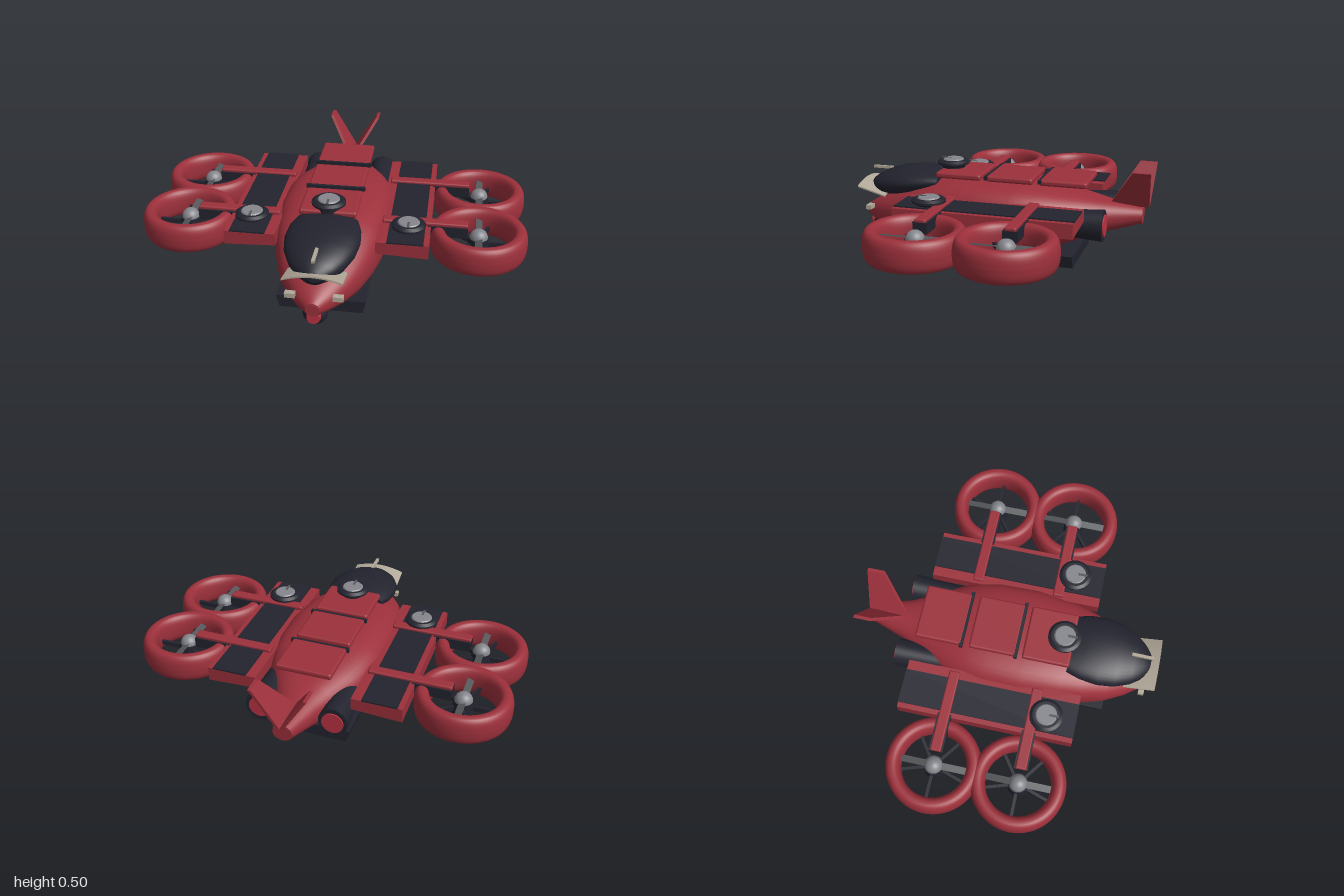
import * as THREE from 'three';
import { toCreasedNormals } from 'three/addons/utils/BufferGeometryUtils.js';
import { RoundedBoxGeometry } from 'three/addons/geometries/RoundedBoxGeometry.js';

const mat = (name, color) => Object.assign(new THREE.MeshStandardMaterial({ color }), { name });

// Closed skin through sections [z, halfWidth, bottom, top, squareness], front to back
function loft(sections, n = 40) {
  const pos = [], idx = [];
  const ring = ([z, w, b, t, e = 2.5]) => {
    const start = pos.length / 3;
    for (let j = 0; j < n; j++) {
      const a = (j / n) * Math.PI * 2, c = Math.cos(a), s = Math.sin(a);
      pos.push(w * Math.sign(c) * Math.abs(c) ** (2 / e),
        (b + t) / 2 + ((t - b) / 2) * Math.sign(s) * Math.abs(s) ** (2 / e), z);
    }
    return start;
  };
  const starts = sections.map(ring);
  for (let i = 0; i < starts.length - 1; i++) {
    for (let j = 0; j < n; j++) {
      const k = (j + 1) % n, p = starts[i], q = starts[i + 1];
      idx.push(p + j, q + j, p + k, p + k, q + j, q + k);
    }
  }
  const cap = (s, front) => {
    const r = ring(s), c = pos.length / 3;
    pos.push(0, (s[2] + s[3]) / 2, s[0]);
    for (let j = 0; j < n; j++) {
      const k = (j + 1) % n;
      idx.push(c, r + (front ? j : k), r + (front ? k : j));
    }
  };
  cap(sections[0], true);
  cap(sections[sections.length - 1], false);
  const g = new THREE.BufferGeometry();
  g.setAttribute('position', new THREE.Float32BufferAttribute(pos, 3));
  g.setIndex(idx);
  g.computeVertexNormals();
  return g;
}

export function createModel() {
  const red = mat('hull red', 0x9c303b);
  const dark = mat('dark panels', 0x22232e);
  const grey = mat('light grey metal', 0x85868c);
  const steel = mat('blade grey', 0x55575a);
  const beige = mat('beige trim', 0xb0a797);
  const glow = mat('bright red lens', 0xb93343);
  const root = new THREE.Group();
  root.name = 'quadRotorCraft';

  const add = (name, geo, m, x = 0, y = 0, z = 0, parent = root) => {
    const mesh = new THREE.Mesh(geo, m);
    mesh.name = name;
    mesh.position.set(x, y, z);
    parent.add(mesh);
    return mesh;
  };
  const box = (w, h, d) => new THREE.BoxGeometry(w, h, d);
  const cyl = (a, b, h, n = 32) => new THREE.CylinderGeometry(a, b, h, n);
  const lathe = (pts, n = 32) => toCreasedNormals(
    new THREE.LatheGeometry(pts.map(p => new THREE.Vector2(...p)), n), 0.6);

  // Fuselage and canopy
  add('fuselage', loft([
    [0.785, 0.035, 0.125, 0.195, 2], [0.73, 0.09, 0.105, 0.23, 2.1], [0.65, 0.15, 0.085, 0.27, 2.3],
    [0.55, 0.205, 0.07, 0.312, 2.5], [0.42, 0.248, 0.058, 0.36, 2.7], [0.3, 0.275, 0.047, 0.395, 2.8],
    [0.1, 0.298, 0.035, 0.41, 3], [-0.1, 0.298, 0.03, 0.406, 3], [-0.22, 0.28, 0.037, 0.395, 2.9],
    [-0.33, 0.24, 0.075, 0.372, 2.7], [-0.45, 0.17, 0.117, 0.348, 2.4], [-0.57, 0.11, 0.157, 0.325, 2.2],
    [-0.75, 0.05, 0.21, 0.3, 2]]), red);
  add('canopy', loft([
    [0.76, 0.015, 0.295, 0.32, 2], [0.745, 0.055, 0.275, 0.348, 2], [0.71, 0.097, 0.265, 0.374, 2],
    [0.66, 0.136, 0.262, 0.4, 2], [0.58, 0.172, 0.27, 0.424, 2], [0.49, 0.186, 0.285, 0.434, 2],
    [0.4, 0.178, 0.31, 0.433, 2.1], [0.325, 0.156, 0.335, 0.42, 2.2]]), dark);

  // Curved brim in front of the canopy
  const brim = new THREE.BoxGeometry(0.285, 0.008, 0.16, 14, 1, 4);
  const bp = brim.attributes.position;
  for (let i = 0; i < bp.count; i++) {
    bp.setY(i, bp.getY(i) + 0.27 * bp.getZ(i) - 1.3 * bp.getX(i) ** 2);
  }
  brim.computeVertexNormals();
  add('canopyBrim', brim, beige, 0, 0.325, 0.712);
  add('probe', box(0.016, 0.014, 0.115), beige, 0, 0.405, 0.698);

  // Nose tip and camera ball
  add('noseCap', cyl(0.03, 0.03, 0.01), red, 0, 0.16, 0.785).rotation.x = Math.PI / 2;
  add('cameraBall', new THREE.SphereGeometry(0.062, 24, 16), dark, 0, 0.095, 0.7);
  add('cameraLens', cyl(0.032, 0.036, 0.02), glow, 0, 0.1, 0.758).rotation.x = Math.PI / 2;

  // Belly skid, narrower at its foot
  const skid = box(0.45, 0.065, 0.985);
  const sp = skid.attributes.position;
  for (let i = 0; i < sp.count; i++) if (sp.getY(i) < 0) sp.setX(i, sp.getX(i) * 0.93);
  skid.computeVertexNormals();
  add('bellySkid', skid, dark, 0, 0.0325, 0.063);

  // Roof plates with dark strips between them
  for (const z of [0.21, -0.07, -0.355]) {
    add('roofPlate', new RoundedBoxGeometry(0.29, 0.032, 0.248, 2, 0.012), red, 0, 0.419, z);
  }
  for (const z of [0.053, -0.235]) add('roofStrip', box(0.31, 0.02, 0.018), dark, 0, 0.424, z);

  // Round sensor pods on roof and wings
  const pod = (x, y, z) => {
    const g = new THREE.Group();
    g.name = 'sensorPod';
    g.position.set(x, y, z);
    root.add(g);
    add('podBody', lathe([[0, 0], [0.065, 0], [0.07, 0.006], [0.086, 0.014], [0.086, 0.024],
      [0.07, 0.035], [0, 0.035]]), dark, 0, 0, 0, g);
    add('podTop', cyl(0.05, 0.058, 0.008), grey, 0, 0.037, 0, g);
    add('podSlot', box(0.012, 0.004, 0.05), steel, 0, 0.041, 0.04, g);
  };
  pod(0, 0.443, 0.283);
  add('roofPodNeck', cyl(0.06, 0.06, 0.03), dark, 0, 0.433, 0.283);

  // Duct ring profile: rounded upright oval swept around the rotor
  const ringPts = [];
  for (let i = 0; i <= 28; i++) {
    const a = -(i / 28) * Math.PI * 2, c = Math.cos(a), s = Math.sin(a);
    ringPts.push(new THREE.Vector2(0.206 + 0.039 * Math.sign(c) * Math.abs(c) ** 0.8,
      0.077 * Math.sign(s) * Math.abs(s) ** 0.8));
  }
  ringPts.reverse();
  const ringGeo = new THREE.LatheGeometry(ringPts, 56);

  const rotor = (side, z) => {
    const g = new THREE.Group();
    g.name = 'rotor';
    g.position.set(side * 0.752, 0.257, z);
    root.add(g);
    add('ductRing', ringGeo, red, 0, 0, 0, g);
    add('motor', cyl(0.05, 0.055, 0.08, 20), dark, 0, -0.025, 0, g);
    add('hubDome', new THREE.SphereGeometry(0.046, 20, 12, 0, Math.PI * 2, 0, Math.PI / 2), grey, 0, 0.015, 0, g);
    for (let i = 0; i < 5; i++) {
      const a = (i / 5) * Math.PI * 2 + (side > 0 ? 0 : Math.PI);
      const strut = add('strut', box(0.15, 0.024, 0.016), dark, Math.cos(a) * 0.11, -0.02, -Math.sin(a) * 0.11, g);
      strut.rotation.y = a;
    }
    for (const s of [-1, 1]) {
      const blade = add('blade', box(0.036, 0.006, 0.145), steel, 0, 0.022, s * 0.1, g);
      blade.rotation.z = s * 0.3;
    }
  };

  // Wing cross-section, swept along z
  const wingGeo = side => {
    const pts = [[0.25, 0.27], [0.51, 0.258], [0.51, 0.333], [0.25, 0.333]].map(p => new THREE.Vector2(side * p[0], p[1]));
    return new THREE.ExtrudeGeometry(new THREE.Shape(pts), { depth: 0.915, bevelEnabled: false });
  };

  // V-tail outline: [x, y, z] corners of the mid-plane, given thickness across x
  const finGeo = side => {
    const c = [[0.008, 0.3, -0.575], [0.135, 0.505, -0.705], [0.135, 0.505, -0.795], [0.008, 0.3, -0.78]];
    const pos = [...c.map(p => [side * (p[0] + 0.009), p[1], p[2]]), ...c.map(p => [side * (p[0] - 0.009), p[1], p[2]])];
    const f = [0, 2, 1, 0, 3, 2, 4, 5, 6, 4, 6, 7];
    for (let i = 0; i < 4; i++) {
      const j = (i + 1) % 4;
      f.push(i, j, i + 4, j, j + 4, i + 4);
    }
    if (side > 0) f.reverse();
    const g = new THREE.BufferGeometry();
    g.setAttribute('position', new THREE.Float32BufferAttribute(pos.flat(), 3));
    g.setIndex(f);
    const flat = g.toNonIndexed();
    flat.computeVertexNormals();
    return flat;
  };
  const finRed = mat('fin red', 0x9c303b);
  finRed.side = THREE.DoubleSide;

  for (const side of [-1, 1]) {
    // Wing with dark top panel and pod
    add('wing', wingGeo(side), red, 0, 0, -0.49);
    add('wingPanel', box(0.18, 0.008, 0.917), dark, side * 0.393, 0.335, -0.0325);
    pod(side * 0.4, 0.337, 0.27);
    // Rotor arms and ducts
    for (const z of [0.2, -0.24]) {
      add('armBeam', box(0.2, 0.055, 0.072), dark, side * 0.595, 0.307, z);
      add('armCover', new RoundedBoxGeometry(0.43, 0.022, 0.056, 2, 0.008), red, side * 0.48, 0.34, z);
      rotor(side, z);
    }
    // Rear engines
    const engine = add('engine', cyl(0.064, 0.08, 0.27), dark, side * 0.19, 0.237, -0.445);
    engine.rotation.x = Math.PI / 2;
    engine.rotation.x *= 1;
    engine.scale.set(0.94, 1, 1.02);
    add('engineGlow', cyl(0.056, 0.056, 0.008), glow, side * 0.19, 0.237, -0.583).rotation.x = Math.PI / 2;
    // Tail fins and headlights
    add('tailFin', finGeo(side), finRed);
    add('headlight', box(0.05, 0.024, 0.03), beige, side * 0.115, 0.205, 0.735);
  }
  return root;
}
